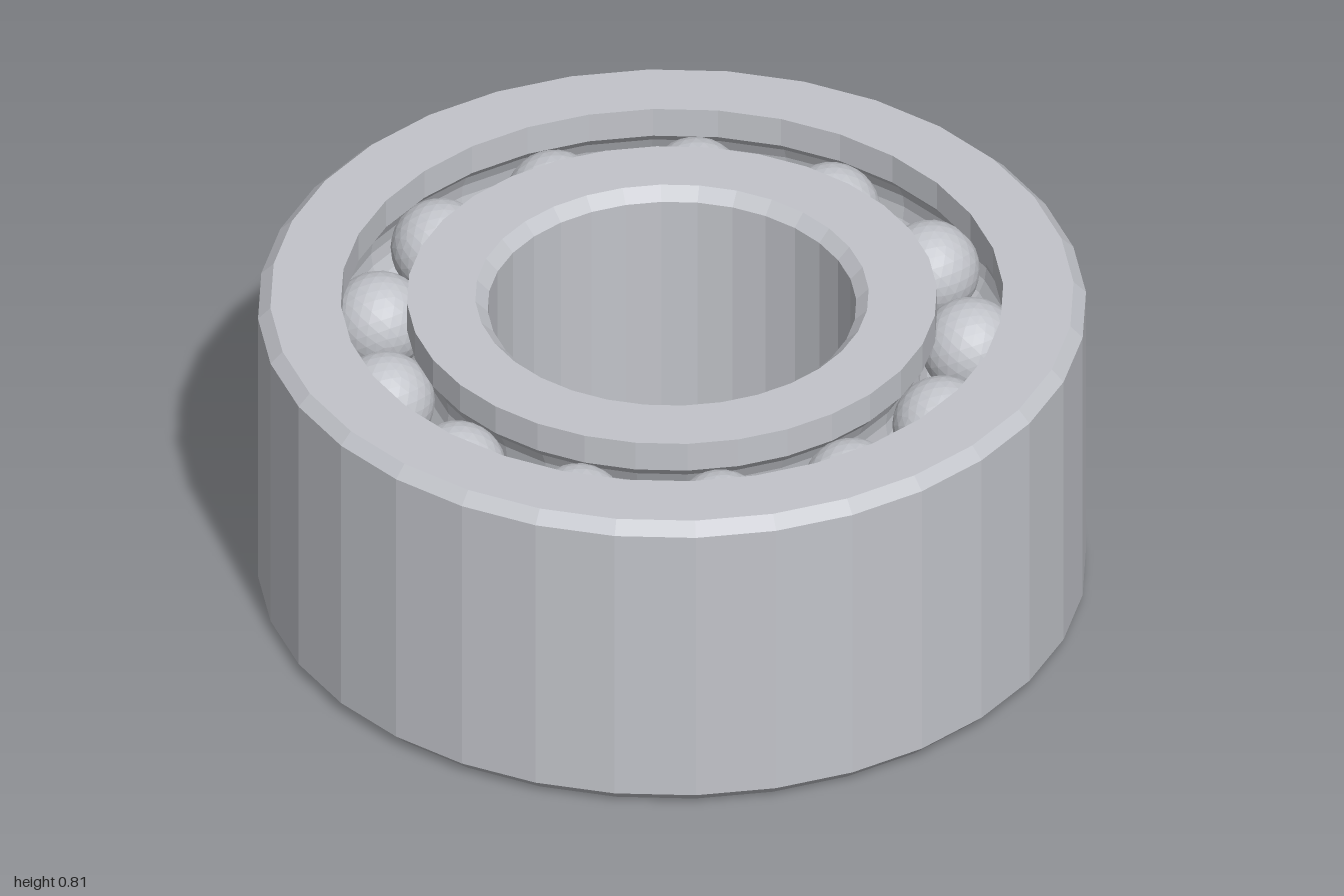
import * as THREE from 'three';

const HEIGHT = 0.81, CHAMFER = 0.03, SEGMENTS = 32;
const PITCH = 0.72, BALL_R = 0.12, BALLS = 13;
const ROWS = [0.17, 0.64];

export function createModel() {
  const model = new THREE.Group();
  model.name = 'doubleRowBallBearing';
  const steel = new THREE.MeshStandardMaterial({ color: 0xc2c4ca, flatShading: true });
  steel.name = 'steel';

  const v = (r, y) => new THREE.Vector2(r, y);

  // Arc of a raceway groove; dir is +1 in the outer ring, -1 in the inner ring
  function groove(cy, dir) {
    const r = BALL_R + 0.002, half = Math.acos(0.08 / r), steps = 6, pts = [];
    for (let i = 0; i <= steps; i++) {
      const t = dir * half * (1 - (2 * i) / steps);
      pts.push(v(PITCH + dir * r * Math.cos(t), cy + r * Math.sin(t)));
    }
    return pts;
  }

  function addRing(name, profile) {
    const mesh = new THREE.Mesh(new THREE.LatheGeometry(profile, SEGMENTS), steel);
    mesh.name = name;
    model.add(mesh);
  }

  // Outer ring, chamfered on the outside
  addRing('outerRing', [
    v(0.8, 0), v(1 - CHAMFER, 0), v(1, CHAMFER), v(1, HEIGHT - CHAMFER),
    v(1 - CHAMFER, HEIGHT), v(0.8, HEIGHT),
    ...groove(ROWS[1], 1), ...groove(ROWS[0], 1), v(0.8, 0),
  ]);

  // Inner ring, chamfered at the bore
  addRing('innerRing', [
    v(0.475, 0), v(0.64, 0),
    ...groove(ROWS[0], -1), ...groove(ROWS[1], -1),
    v(0.64, HEIGHT), v(0.475, HEIGHT),
    v(0.445, HEIGHT - CHAMFER), v(0.445, CHAMFER), v(0.475, 0),
  ]);

  // Two rows of balls
  const ballGeometry = new THREE.IcosahedronGeometry(BALL_R, 4);
  ROWS.forEach((y, row) => {
    const group = new THREE.Group();
    group.name = row ? 'upperBalls' : 'lowerBalls';
    for (let i = 0; i < BALLS; i++) {
      const a = (i / BALLS) * Math.PI * 2;
      const ball = new THREE.Mesh(ballGeometry, steel);
      ball.name = 'ball';
      ball.position.set(PITCH * Math.cos(a), y, PITCH * Math.sin(a));
      group.add(ball);
    }
    model.add(group);
  });

  return model;
}
